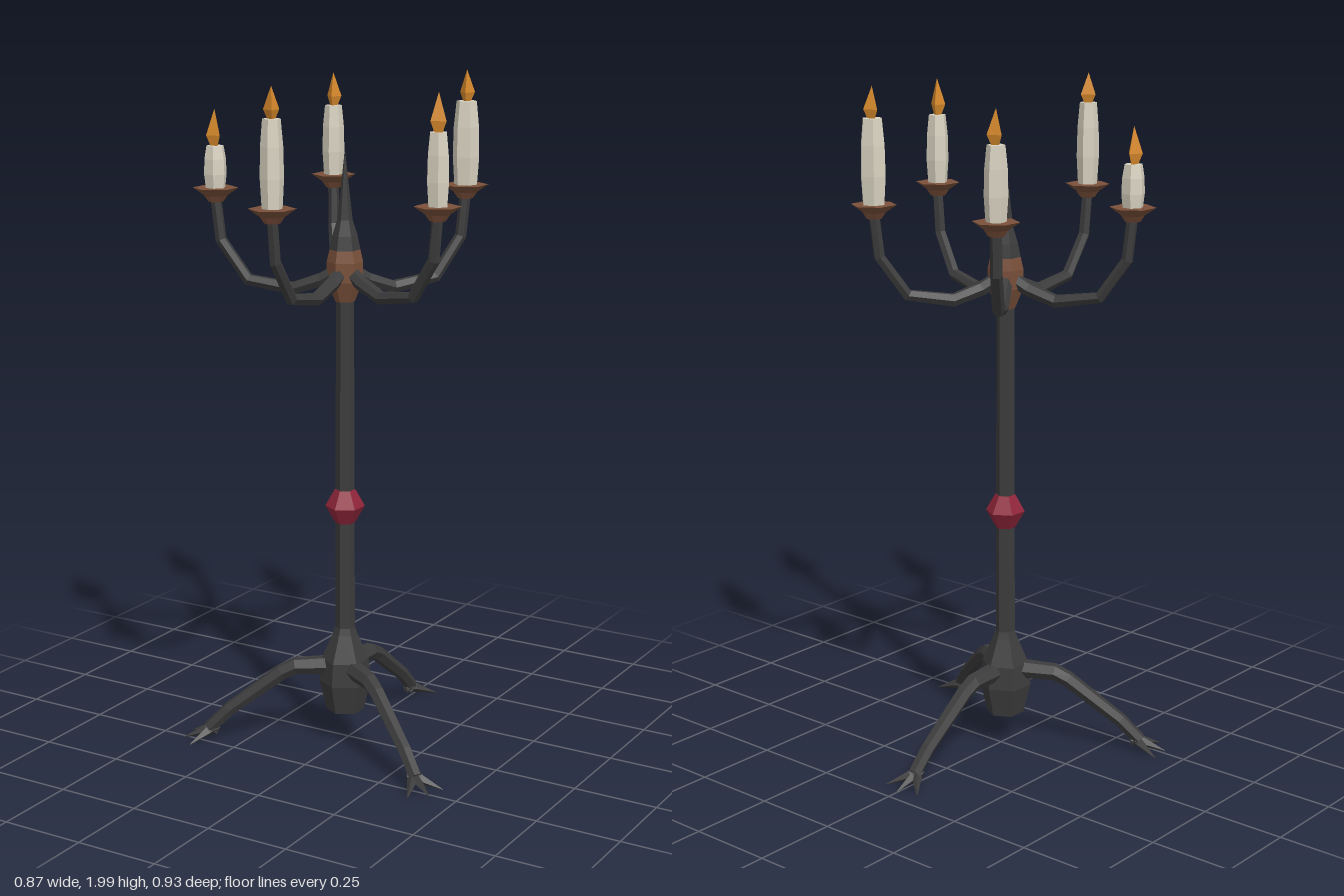
import * as THREE from 'three';

const mat = (name, color) => Object.assign(new THREE.MeshStandardMaterial({ color }), { name });

// Unshared vertices give crisp facets
function facet(geo) {
  const g = geo.index ? geo.toNonIndexed() : geo;
  g.computeVertexNormals();
  return g;
}

// Faceted turned part from [radius, height] pairs, listed bottom to top
function turned(profile, sides = 6) {
  return facet(new THREE.LatheGeometry(profile.map(([r, y]) => new THREE.Vector2(r, y)), sides));
}

// Tapered limb running outward along +z, from [distance, height, radius] points
function limb(points, sides = 6) {
  const pos = [], index = [];
  const rings = points.map(([z, y, r], i) => {
    const a = points[Math.max(i - 1, 0)], b = points[Math.min(i + 1, points.length - 1)];
    const t = new THREE.Vector2(b[0] - a[0], b[1] - a[1]).normalize();
    return { z, y, r, t };
  });
  // Collapsed rings close both ends
  rings.unshift({ ...rings[0], r: 0 });
  rings.push({ ...rings[rings.length - 1], r: 0 });
  rings.forEach(({ z, y, r, t }, i) => {
    for (let j = 0; j < sides; j++) {
      const a = (j / sides) * Math.PI * 2;
      pos.push(r * Math.cos(a), y + r * Math.sin(a) * t.x, z - r * Math.sin(a) * t.y);
      if (i === rings.length - 1) continue;
      const p = i * sides + j, q = i * sides + (j + 1) % sides;
      index.push(p, q, p + sides, q, q + sides, p + sides);
    }
  });
  const g = new THREE.BufferGeometry();
  g.setAttribute('position', new THREE.Float32BufferAttribute(pos, 3));
  g.setIndex(index);
  return facet(g);
}

export function createModel() {
  const iron = mat('dark iron', 0x3c3c3d);
  const copper = mat('brown copper', 0x7a503a);
  const ruby = mat('red gem', 0x90253a);
  const wax = mat('cream wax', 0xd8d2c0);
  const fire = mat('orange flame', 0xd98a2c);

  const model = new THREE.Group();
  model.name = 'candelabra';
  const body = new THREE.Group();
  body.name = 'body';
  body.position.z = 0.02;
  model.add(body);

  const add = (parent, name, geo, material) => {
    const m = new THREE.Mesh(geo, material);
    m.name = name;
    parent.add(m);
    return m;
  };

  // Central column with its bulbous base
  add(body, 'column', turned([
    [0, 0.1], [0.056, 0.1], [0.077, 0.19], [0.07, 0.26], [0.036, 0.34], [0.029, 0.36], [0.026, 1.37], [0, 1.37],
  ]), iron);
  add(body, 'gem', turned([[0, 0.685], [0.03, 0.685], [0.058, 0.735], [0.03, 0.785], [0, 0.785]]), ruby);
  add(body, 'hub', turned([
    [0, 1.345], [0.028, 1.345], [0.052, 1.405], [0.052, 1.46], [0.044, 1.495], [0, 1.495],
  ]), copper);
  add(body, 'spike', turned([[0, 1.48], [0.047, 1.48], [0.036, 1.535], [0.022, 1.58], [0, 1.78]]), iron);

  // Three clawed legs
  const legGeo = limb([
    [0.03, 0.24, 0.03], [0.15, 0.235, 0.026], [0.19, 0.215, 0.024], [0.35, 0.095, 0.021], [0.41, 0.035, 0.02],
  ]);
  const toeGeo = limb([[-0.015, 0.035, 0.016], [0.02, 0.028, 0.015], [0.088, 0.004, 0.001]], 4);
  for (let i = 0; i < 3; i++) {
    const leg = new THREE.Group();
    leg.name = 'leg';
    leg.rotation.y = Math.PI + (i * Math.PI * 2) / 3;
    add(leg, 'legShaft', legGeo, iron);
    for (const turn of [-0.74, 0, 0.74]) {
      const toe = add(leg, 'toe', toeGeo, iron);
      toe.position.z = 0.4;
      toe.rotation.y = turn;
    }
    body.add(leg);
  }

  // Five arms, each with a drip pan, candle and flame
  const armGeo = limb([
    [0.01, 1.44, 0.022], [0.07, 1.405, 0.021], [0.154, 1.376, 0.02],
    [0.286, 1.397, 0.018], [0.366, 1.51, 0.017], [0.38, 1.635, 0.016],
  ]);
  const panGeo = turned([[0, 1.62], [0.022, 1.62], [0.034, 1.638], [0.066, 1.66], [0, 1.66]]);
  const flameGeo = turned([[0, 0], [0.012, 0], [0.025, 0.03], [0, 0.1]], 3);
  // Candle top height, radius, turn and flame height scale
  const candles = [
    [1.9, 0.033, 0.2, 0.9], [1.86, 0.034, 0.5, 1.1], [1.9, 0.039, 0.8, 0.92],
    [1.865, 0.033, 0.1, 1.0], [1.78, 0.034, 0.4, 1.08],
  ];
  candles.forEach(([top, r, turn, tall], i) => {
    const angle = (i * Math.PI * 2) / 5;
    add(body, 'arm', armGeo, iron).rotation.y = angle;

    const holder = new THREE.Group();
    holder.name = 'candleHolder';
    holder.position.set(0.38 * Math.sin(angle), 0, 0.38 * Math.cos(angle));
    add(holder, 'dripPan', panGeo, copper);
    const h = top - 1.655;
    const candle = add(holder, 'candle', turned([
      [0, 1.655], [r * 0.85, 1.655], [r, 1.655 + h * 0.35], [r * 0.95, 1.655 + h * 0.7], [r * 0.76, top], [0, top],
    ]), wax);
    candle.rotation.y = turn;
    const flame = add(holder, 'flame', flameGeo, fire);
    flame.position.y = top - 0.003;
    flame.scale.y = tall;
    flame.rotation.y = turn * 3;
    body.add(holder);
  });

  return model;
}
